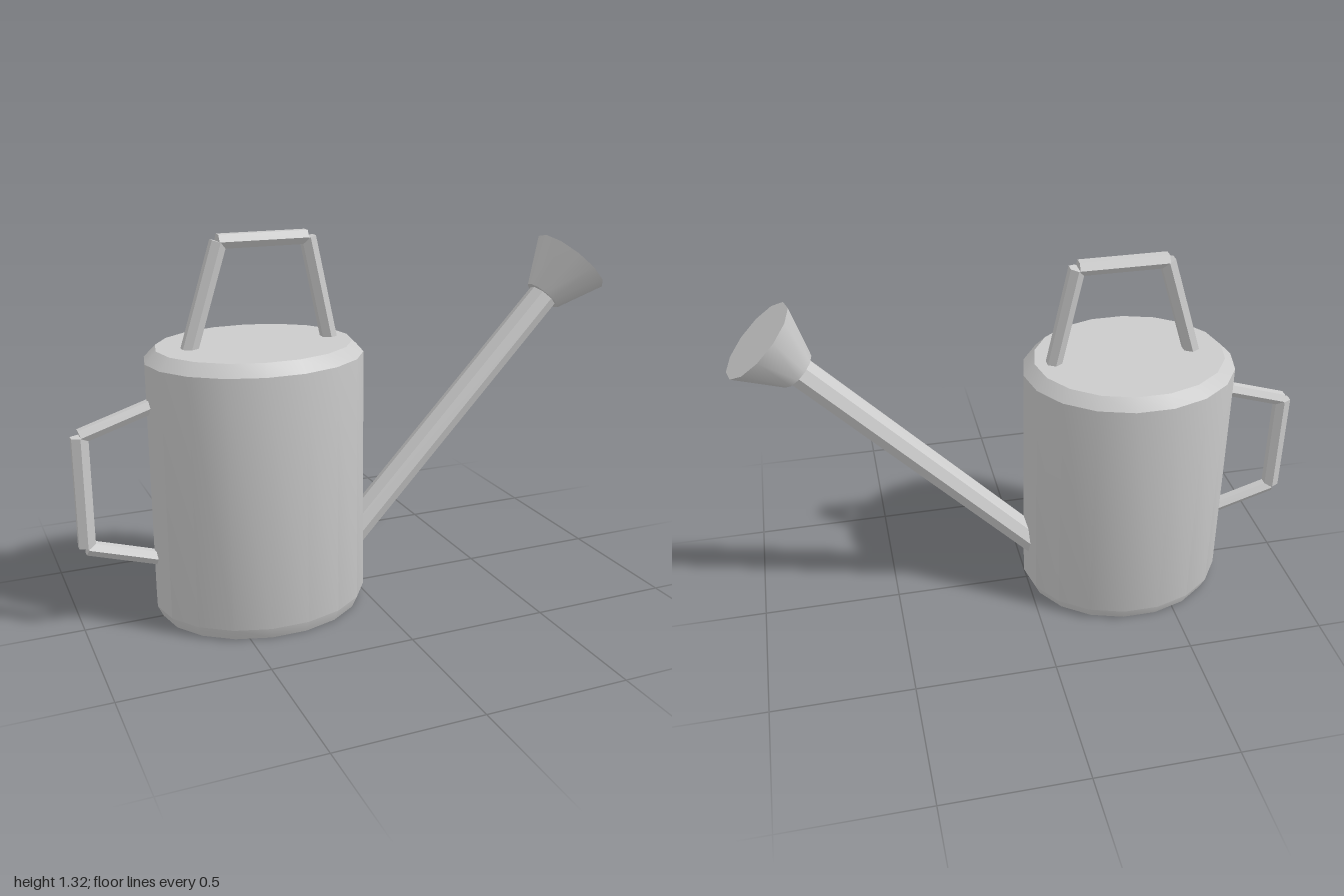
import * as THREE from 'three';
import { toCreasedNormals } from 'three/addons/utils/BufferGeometryUtils.js';

const smooth = new THREE.MeshStandardMaterial({ color: 0xcccccc });
const faceted = new THREE.MeshStandardMaterial({ color: 0xcccccc, flatShading: true });

// Places a y-aligned geometry of unit height so that it runs from a to b in the xy plane.
function span(geometry, a, b) {
  const dx = b[0] - a[0], dy = b[1] - a[1];
  geometry.scale(1, Math.hypot(dx, dy), 1);
  geometry.rotateZ(Math.atan2(dy, dx) - Math.PI / 2);
  geometry.translate((a[0] + b[0]) / 2, (a[1] + b[1]) / 2, 0);
  return geometry;
}

// Straight faceted bar: rx is its radius in the xy plane, rz its radius along z.
function bar(name, a, b, rx, rz, sides) {
  const geometry = new THREE.CylinderGeometry(1, 1, 1, sides);
  geometry.scale(rx, 1, rz);
  const mesh = new THREE.Mesh(span(geometry, a, b), faceted);
  mesh.name = name;
  return mesh;
}

// Group of hexagonal bars forming one handle.
function handle(name, bars) {
  const group = new THREE.Group();
  group.name = name;
  for (const [part, a, b, rx, rz] of bars) group.add(bar(part, a, b, rx, rz, 6));
  return group;
}

export function createModel() {
  const model = new THREE.Group();
  model.name = 'wateringCan';

  // Oval body with chamfered rims, closed top and bottom
  const profile = [[0, 0], [0.95, 0], [1, 0.04], [1, 0.91], [0.895, 0.95], [0, 0.95]]
    .map(([r, y]) => new THREE.Vector2(r, y));
  const bodyGeometry = new THREE.LatheGeometry(profile, 18, Math.PI / 18);
  bodyGeometry.scale(0.378, 1, 0.322);
  const body = new THREE.Mesh(toCreasedNormals(bodyGeometry, 0.42), smooth);
  body.name = 'body';
  body.position.x = -0.367;
  model.add(body);

  // Spout, starting inside the body, and flared rose on the same axis
  model.add(bar('spout', [-0.06, 0.148], [0.785, 1.042], 0.052, 0.061, 8));
  const roseGeometry = new THREE.CylinderGeometry(0.152, 0.07, 1, 12);
  span(roseGeometry, [0.77, 1.025], [0.885, 1.148]);
  const rose = new THREE.Mesh(toCreasedNormals(roseGeometry, 0.62), smooth);
  rose.name = 'rose';
  model.add(rose);

  // Carrying handle on the lid
  model.add(handle('topHandle', [
    ['backLeg', [-0.598, 0.93], [-0.482, 1.297], 0.03, 0.031],
    ['frontLeg', [-0.093, 0.93], [-0.17, 1.297], 0.029, 0.031],
    ['grip', [-0.485, 1.298], [-0.175, 1.298], 0.027, 0.031],
  ]));

  // Pouring handle on the back of the body
  model.add(handle('sideHandle', [
    ['upperArm', [-0.7, 0.778], [-0.97, 0.692], 0.026, 0.028],
    ['grip', [-0.972, 0.305], [-0.972, 0.69], 0.032, 0.028],
    ['lowerArm', [-0.7, 0.215], [-0.97, 0.3], 0.026, 0.028],
  ]));

  return model;
}
